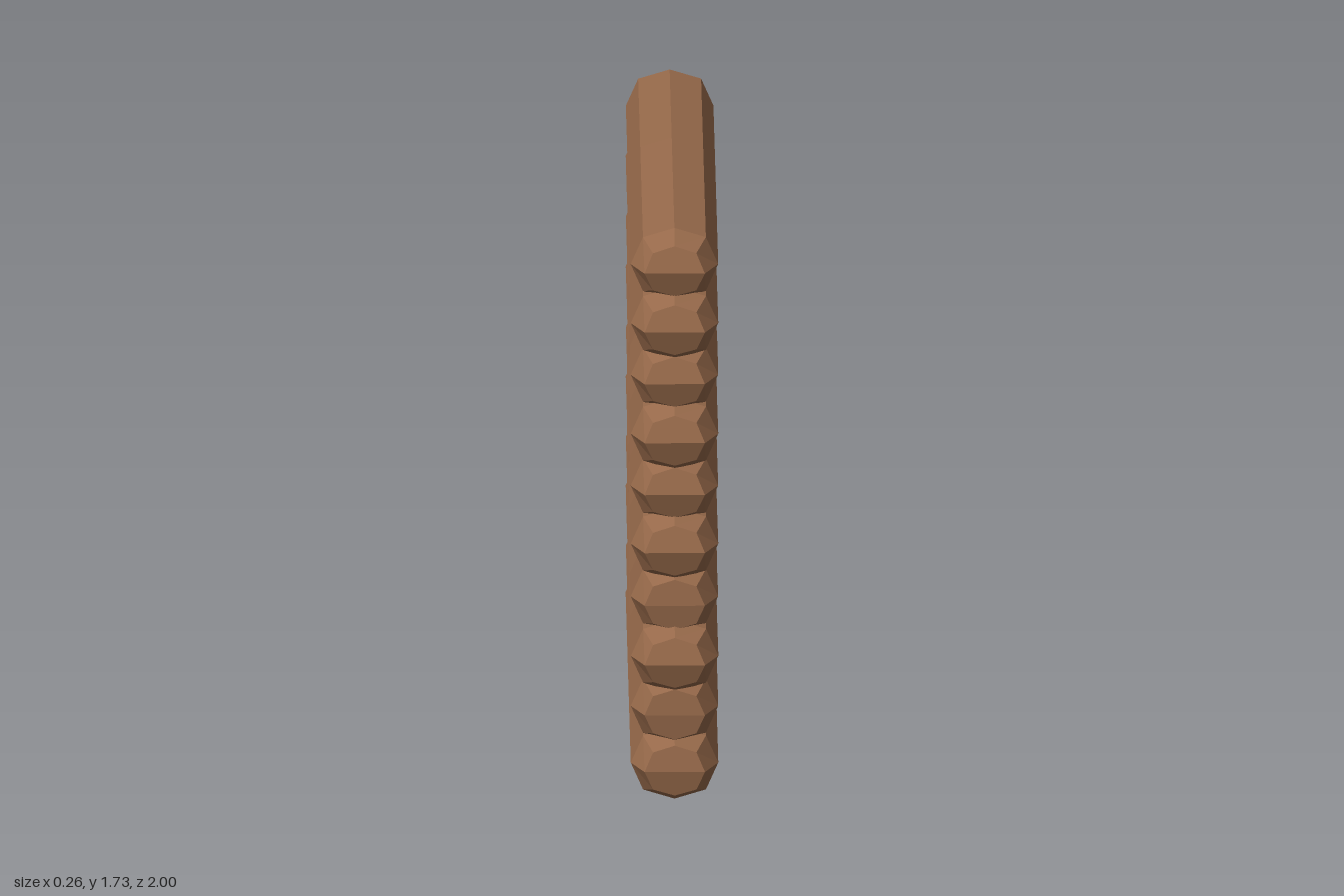
import * as THREE from 'three';

// half-height and half-width outline of a log, counter-clockwise seen from the front
const SECTION = [[0.128, 0], [0.092, 0.082], [0, 0.11], [-0.092, 0.082],
  [-0.128, 0], [-0.092, -0.082], [0, -0.11], [0.092, -0.082]];

// each log: centre height, front end, back end, bends as [z, lift], optional tip depths
const LOGS = [
  { y: 0.113, front: 0.97, back: -1.0, bends: [], backTip: 0.065, frontTip: 0.015 },
  { y: 0.28, front: 0.95, back: -0.915, bends: [[0.4, -0.005], [-0.1, 0]], frontTip: 0.008 },
  { y: 0.447, front: 1.0, back: -0.97, bends: [[0.45, -0.018], [0, 0.003], [-0.45, -0.01]] },
  { y: 0.61, front: 0.937, back: -0.915, bends: [[0.5, -0.028], [0.2, 0.005], [0, 0.028], [-0.13, 0.03], [-0.25, 0], [-0.6, -0.005]], frontTip: 0.01 },
  { y: 0.78, front: 0.97, back: -0.967, bends: [[0.4, -0.026], [0.05, 0.002], [-0.13, -0.026], [-0.25, -0.03], [-0.5, 0.005]] },
  { y: 0.945, front: 0.93, back: -0.915, bends: [[0.5, -0.012], [0.15, 0], [-0.2, -0.018], [-0.5, 0.01]] },
  { y: 1.115, front: 0.97, back: -0.967, bends: [[0.45, -0.024], [0.1, 0.005], [-0.15, -0.026], [-0.45, 0.008]] },
  { y: 1.283, front: 0.93, back: -0.915, bends: [[0.58, 0.015], [0.3, -0.015], [0.05, -0.003], [-0.15, -0.02], [-0.45, 0.003]] },
  { y: 1.452, front: 0.97, back: -0.967, bends: [[0.4, -0.015], [0.1, -0.008], [-0.1, 0.016], [-0.22, 0.016], [-0.5, -0.004]] },
  { y: 1.62, front: 0.93, back: -0.915, bends: [[-0.1, 0.003]] },
];

// faceted log lofted from front to back, with tapered blunt ends
function logGeometry({ y, front, back, bends, frontTip = 0.025, backTip = 0.025 }) {
  const stations = [
    { z: front, lift: 0, scale: 0.69, bulge: -frontTip },
    { z: front - 0.1, lift: 0, scale: 1, bulge: 0 },
    ...bends.map(([z, lift]) => ({ z, lift, scale: 1, bulge: 0 })),
    { z: back + 0.1, lift: 0, scale: 1, bulge: 0 },
    { z: back, lift: 0, scale: 0.69, bulge: backTip },
  ];
  const n = SECTION.length, positions = [], index = [];
  for (const { z, lift, scale, bulge } of stations) {
    for (const [px, py] of SECTION) {
      // the upper and lower corners of the end face sit behind its middle ridge
      positions.push(px * scale, y + lift + py * scale, z + bulge * Math.abs(py) / 0.11);
    }
  }
  for (let s = 0; s < stations.length - 1; s++) {
    for (let k = 0; k < n; k++) {
      const a = s * n + k, b = s * n + (k + 1) % n;
      index.push(a, a + n, b, b, a + n, b + n);
    }
  }
  // end faces
  const frontCentre = positions.length / 3, last = (stations.length - 1) * n;
  positions.push(0, y, front, 0, y, back);
  for (let k = 0; k < n; k++) {
    const next = (k + 1) % n;
    index.push(frontCentre, k, next);
    index.push(frontCentre + 1, last + next, last + k);
  }
  const geometry = new THREE.BufferGeometry();
  geometry.setAttribute('position', new THREE.Float32BufferAttribute(positions, 3));
  geometry.setIndex(index);
  const faceted = geometry.toNonIndexed();
  faceted.computeVertexNormals();
  return faceted;
}

export function createModel() {
  const group = new THREE.Group();
  group.name = 'logWall';
  const wood = new THREE.MeshStandardMaterial({ color: 0x96694a, flatShading: true });
  LOGS.forEach((log, i) => {
    const mesh = new THREE.Mesh(logGeometry(log), wood);
    mesh.name = `log${i + 1}`;
    group.add(mesh);
  });
  return group;
}
